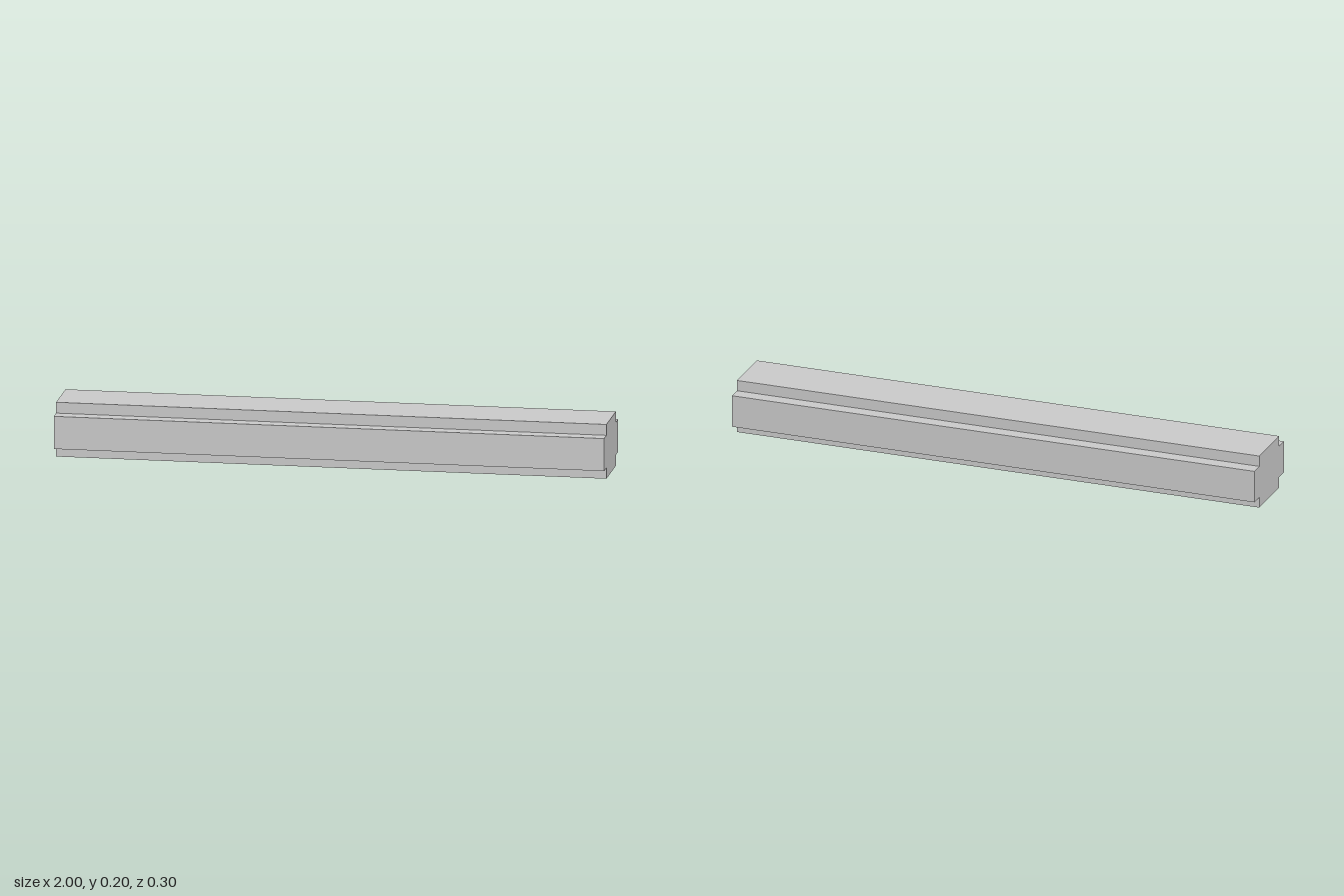
import * as THREE from 'three';

const LENGTH = 2;
const HEIGHT = 0.2;
const CORE = 0.1; // half depth of the top and bottom faces
const FLANGE = 0.15; // half depth of the side ribs
const STEP = 0.04; // height of the corner rebates

export function createModel() {
  const group = new THREE.Group();
  group.name = 'beam';

  // Cross-shaped section: a rectangle with all four corners rebated
  const half = [
    [CORE, 0], [CORE, STEP], [FLANGE, STEP],
    [FLANGE, HEIGHT - STEP], [CORE, HEIGHT - STEP], [CORE, HEIGHT],
  ];
  const mirrored = half.map(([x, y]) => [-x, y]).reverse();
  const section = new THREE.Shape([...half, ...mirrored].map(([x, y]) => new THREE.Vector2(x, y)));

  // Sweep the section along the beam, then lay it along x
  const geometry = new THREE.ExtrudeGeometry(section, { depth: LENGTH, bevelEnabled: false });
  geometry.translate(0, 0, -LENGTH / 2);
  geometry.rotateY(Math.PI / 2);

  const beam = new THREE.Mesh(geometry, new THREE.MeshStandardMaterial({ color: 0xcccccc }));
  beam.name = 'rebatedBeam';
  group.add(beam);
  return group;
}
